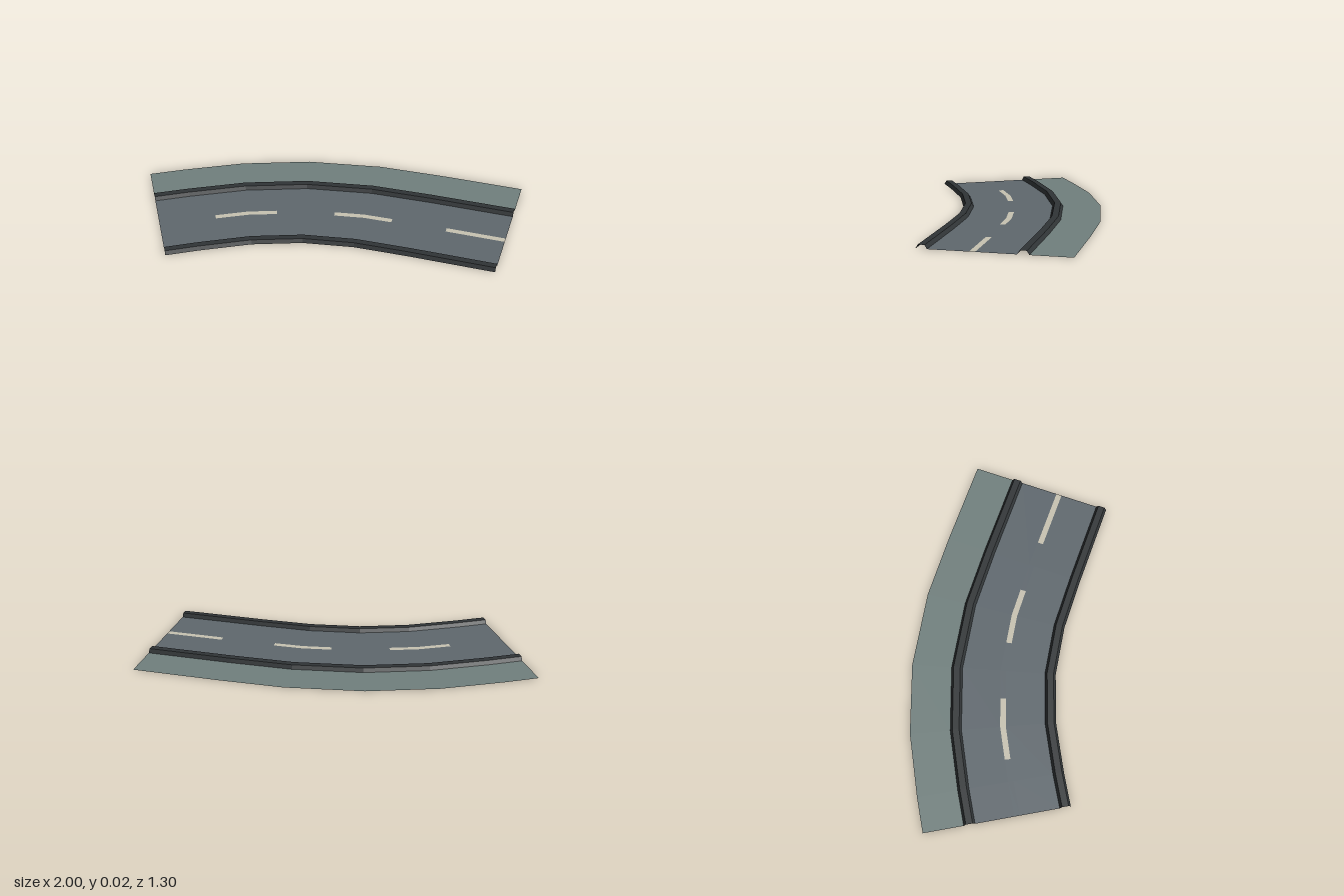
import * as THREE from 'three';

// Cross-section stations along the bend: outer edge x, z and heading in degrees
const STATIONS = [
  [-1, -0.65, 0], [-0.81, -0.65, 0.8], [-0.47, -0.635, 6], [-0.095, -0.565, 14.5],
  [0.29, -0.42, 25], [0.6, -0.252, 30], [1, -0.021, 30],
];
const LAST = STATIONS.length - 1;

// Point at station parameter t, a distance inward from the outer edge, at height y
function pointAt(t, offset, y) {
  const at = ([x, z, deg]) => {
    const a = THREE.MathUtils.degToRad(deg);
    return new THREE.Vector3(x - offset * Math.sin(a), y, z + offset * Math.cos(a));
  };
  const i = Math.min(Math.floor(t), LAST - 1);
  return at(STATIONS[i]).lerp(at(STATIONS[i + 1]), t - i);
}

// Sweep a profile of [offset, y] points along the bend from t0 to t1
function sweep(name, color, profile, t0 = 0, t1 = LAST) {
  const ts = [t0];
  for (let t = Math.floor(t0) + 1; t < t1; t++) ts.push(t);
  ts.push(t1);
  const positions = [], index = [], n = profile.length;
  for (const t of ts) for (const [o, y] of profile) positions.push(...pointAt(t, o, y).toArray());
  for (let i = 0; i < ts.length - 1; i++) {
    for (let j = 0; j < n - 1; j++) {
      const a = i * n + j, b = a + n;
      index.push(a, a + 1, b, b, a + 1, b + 1);
    }
  }
  const indexed = new THREE.BufferGeometry();
  indexed.setAttribute('position', new THREE.Float32BufferAttribute(positions, 3));
  indexed.setIndex(index);
  const geometry = indexed.toNonIndexed();
  geometry.computeVertexNormals();
  const material = new THREE.MeshStandardMaterial({ color, flatShading: true, side: THREE.DoubleSide });
  const mesh = new THREE.Mesh(geometry, material);
  mesh.name = name;
  return mesh;
}

export function createModel() {
  const group = new THREE.Group();
  group.name = 'curvedRoad';
  const VERGE = 0x71807e, ASPHALT = 0x5f686e, KERB = 0x303436, PAINT = 0xc8c3b2;
  const flat = (a, b) => [[a, 0], [b, 0]];
  // Open-bottomed kerb with sloping sides
  const kerb = (a, b) => [[a, 0], [a + 0.012, 0.02], [b - 0.012, 0.02], [b, 0]];

  group.add(
    sweep('verge', VERGE, flat(0, 0.212)),
    sweep('outerKerb', KERB, kerb(0.212, 0.271)),
    sweep('outerLane', ASPHALT, flat(0.271, 0.475)),
    sweep('innerLane', ASPHALT, flat(0.505, 0.712)),
    sweep('innerKerb', KERB, kerb(0.712, 0.77)),
  );

  // Centre strip: asphalt gaps alternating with painted dashes
  const breaks = [0, 1.4, 2.5, 3.5, 4.5, 5.31, LAST];
  for (let i = 0; i < breaks.length - 1; i++) {
    const dash = i % 2 === 1;
    group.add(sweep(dash ? 'laneDash' : 'centreGap', dash ? PAINT : ASPHALT,
      flat(0.475, 0.505), breaks[i], breaks[i + 1]));
  }
  return group;
}
